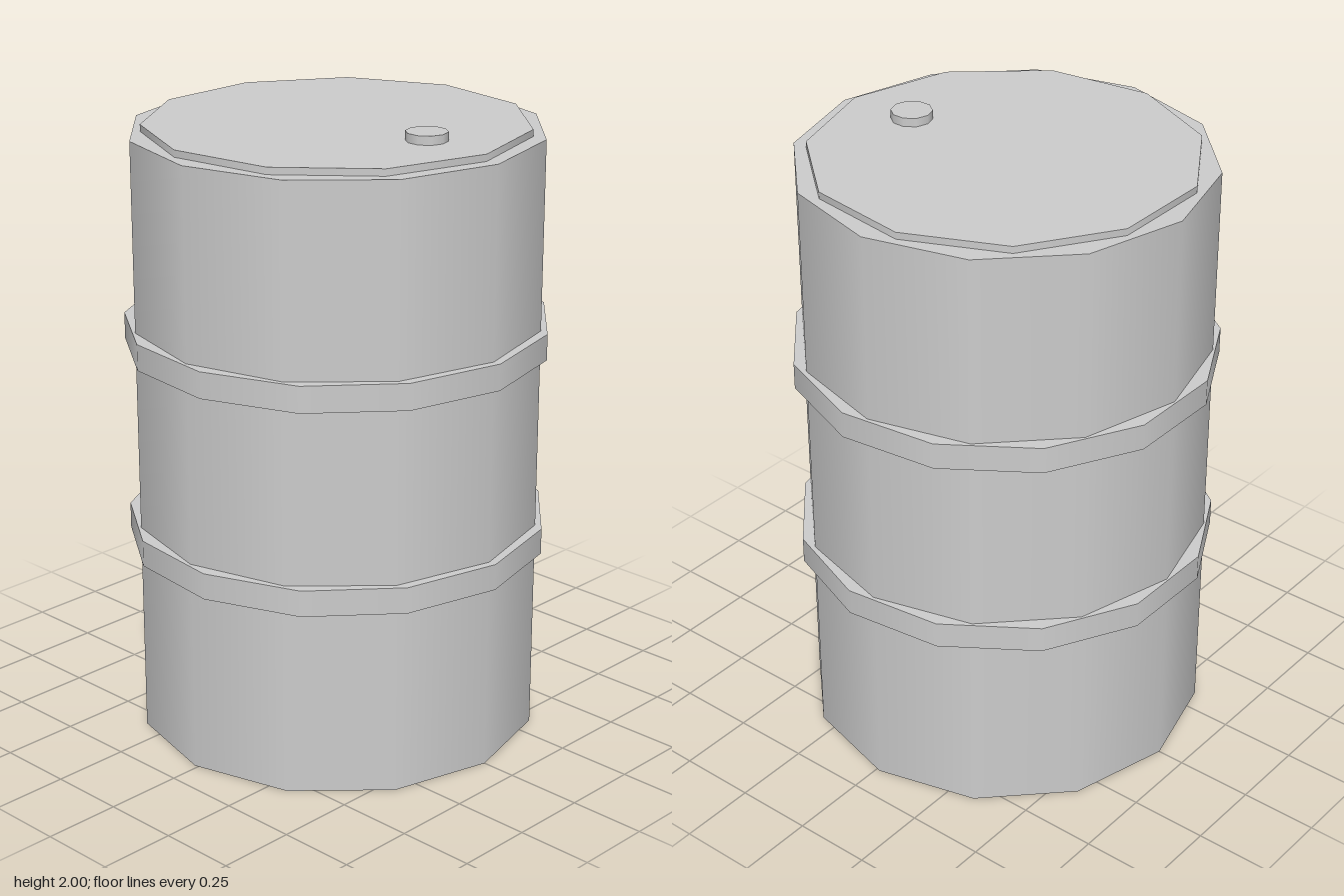
import * as THREE from 'three';

const steel = new THREE.MeshStandardMaterial({ name: 'steelGrey', color: 0xcccccc });

// Smooth-sided closed cylinder with one corner pointing to +x
function disc(name, radius, sides, y0, y1, x = -0.012, z = 0) {
  const geometry = new THREE.CylinderGeometry(radius, radius, y1 - y0, sides, 1, false, Math.PI / 2);
  const mesh = new THREE.Mesh(geometry, steel);
  mesh.name = name;
  mesh.position.set(x, (y0 + y1) / 2, z);
  return mesh;
}

export function createModel() {
  const drum = new THREE.Group();
  drum.name = 'drum';

  // Body and the raised lid
  drum.add(disc('body', 0.648, 12, 0, 1.95));
  drum.add(disc('lid', 0.603, 11, 1.93, 1.972));

  // Rolling hoops
  drum.add(disc('lowerHoop', 0.674, 13, 0.61, 0.695));
  drum.add(disc('upperHoop', 0.674, 13, 1.26, 1.345));

  // Filler cap
  drum.add(disc('fillerCap', 0.065, 10, 1.96, 2, 0.355, -0.002));

  return drum;
}
